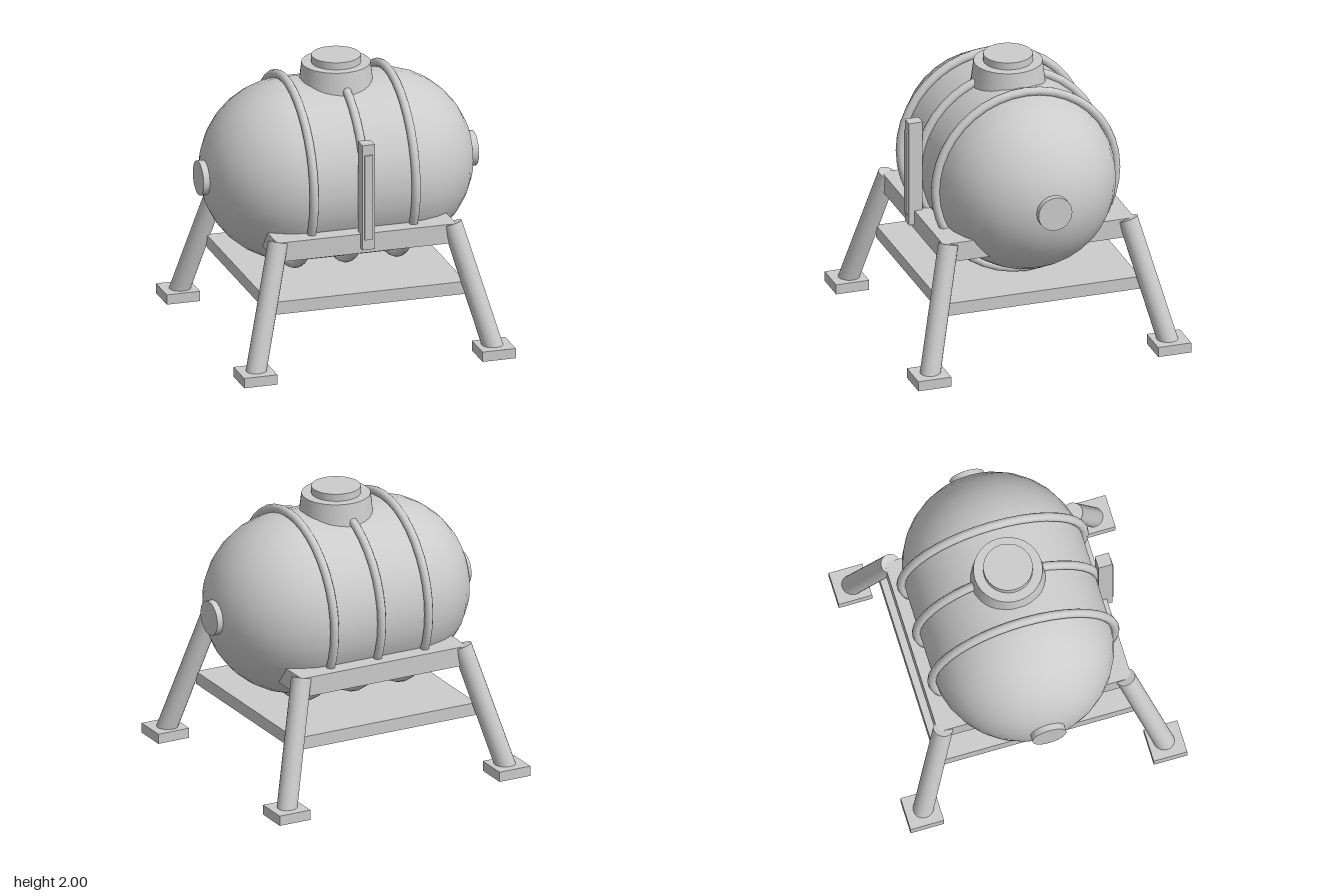
import * as THREE from 'three';

export function createModel() {
  const model = new THREE.Group();
  const grey = new THREE.MeshStandardMaterial({ color: 0xcccccc });
  grey.name = 'light grey';
  const AXIS = 1.2; // height of the tank's axis

  const add = (name, geometry, x = 0, y = 0, z = 0) => {
    const mesh = new THREE.Mesh(geometry, grey);
    mesh.name = name;
    mesh.position.set(x, y, z);
    model.add(mesh);
    return mesh;
  };
  const box = (name, w, h, d, x, y, z) => add(name, new THREE.BoxGeometry(w, h, d), x, y, z);

  // Horizontal tank with domed ends
  const tank = new THREE.CapsuleGeometry(0.642, 0.65, 8, 32);
  tank.rotateZ(Math.PI / 2);
  add('tank', tank, 0, AXIS, 0);

  // Hoops around the tank
  for (const x of [-0.37, 0, 0.37]) {
    const hoop = new THREE.TorusGeometry(0.662, 0.031, 10, 40);
    hoop.rotateY(Math.PI / 2);
    add('hoop', hoop, x, AXIS, 0);
  }

  // Round caps on both ends
  for (const side of [-1, 1]) {
    const cap = new THREE.CylinderGeometry(0.123, 0.123, 0.06, 32);
    cap.rotateZ(Math.PI / 2);
    add('endCap', cap, side * 0.97, AXIS, 0);
  }

  // Hatch on top
  add('hatchCollar', new THREE.CylinderGeometry(0.24, 0.265, 0.2, 32), 0, 1.848, 0);
  add('hatchLid', new THREE.CylinderGeometry(0.172, 0.172, 0.06, 32), 0, 1.97, 0);

  // Level gauge on the front
  box('gaugeBody', 0.09, 0.77, 0.1, 0, 1.205, 0.69);
  box('gaugeGlass', 0.06, 0.62, 0.02, 0, 1.205, 0.741);

  // Base plate
  box('basePlate', 1.42, 0.092, 1.44, 0, 0.454, 0);

  // Cradle rails, legs and feet
  const up = new THREE.Vector3(0, 1, 0);
  for (const sz of [-1, 1]) {
    box('cradleRail', 1.3, 0.14, 0.34, 0, 0.855, sz * 0.53);
    for (const sx of [-1, 1]) {
      const top = new THREE.Vector3(sx * 0.632, 0.918, sz * 0.658);
      const foot = new THREE.Vector3(sx * 0.865, 0.04, sz * 0.875);
      const run = top.clone().sub(foot);
      const leg = add('leg', new THREE.CylinderGeometry(0.07, 0.072, run.length(), 20));
      leg.position.copy(top).add(foot).multiplyScalar(0.5);
      leg.quaternion.setFromUnitVectors(up, run.normalize());
      box('foot', 0.242, 0.072, 0.242, sx * 0.865, 0.036, sz * 0.878);
    }
  }
  return model;
}
